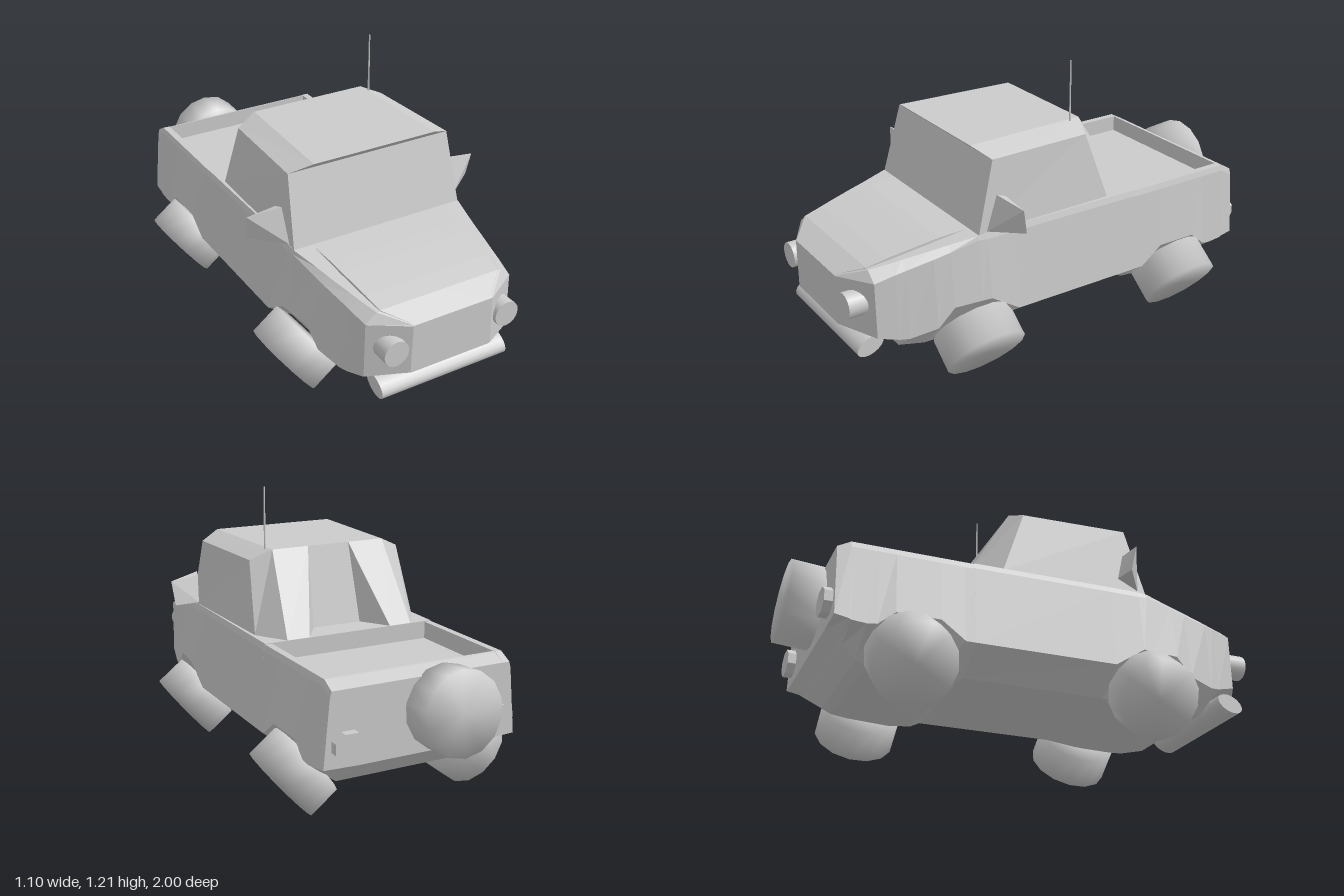
import * as THREE from 'three';
import { mergeVertices } from 'three/addons/utils/BufferGeometryUtils.js';
import { ConvexGeometry } from 'three/addons/geometries/ConvexGeometry.js';

const flat = new THREE.MeshStandardMaterial({ color: 0xcccccc, flatShading: true });
const smooth = new THREE.MeshStandardMaterial({ color: 0xcccccc });
const flip = ([x, y, z]) => [-x, y, z];

// Collects flat polygons (corners counter-clockwise from outside)
class Faces {
  constructor() { this.data = []; }
  add(...pts) {
    for (let i = 1; i < pts.length - 1; i++) this.data.push(...pts[0], ...pts[i], ...pts[i + 1]);
  }
  both(...pts) {
    this.add(...pts);
    this.add(...pts.map(flip).reverse());
  }
  geometry() {
    const g = new THREE.BufferGeometry();
    g.setAttribute('position', new THREE.Float32BufferAttribute(this.data, 3));
    g.computeVertexNormals();
    return g;
  }
}

// Low-sided drum with soft normals running over its rim
function drum(radius, width, sides) {
  const g = new THREE.CylinderGeometry(radius, radius, width, sides);
  g.deleteAttribute('normal');
  g.deleteAttribute('uv');
  const merged = mergeVertices(g, 1e-4);
  merged.computeVertexNormals();
  return merged;
}

// Half cross-section: floor or bonnet, inner rim, outer rim, shoulder, sill, underside
function section(z, floorY, inX, topX, topY, shX, shY, sillX, sillY, botX, botY) {
  return [[0, floorY], [inX, floorY], [inX, topY], [topX, topY], [shX, shY],
    [sillX, sillY], [botX, botY], [0, botY]].map(([x, y]) => [x, y, z]);
}

function bodyGeometry() {
  const tub = (z, floorY, sillY, botY, topY = 0.627) =>
    section(z, floorY, 0.36, 0.39, topY, 0.397, topY - 0.025, 0.423, sillY, 0.28, botY);
  const bed = 0.555;
  const rings = [
    tub(-0.845, 0.597, 0.30, 0.295, 0.597),
    tub(-0.79, 0.625, 0.29, 0.25),
    tub(-0.78, 0.627, 0.285, 0.24),
    tub(-0.78, bed, 0.285, 0.24),
    tub(-0.72, bed, 0.28, 0.19),
    tub(-0.68, bed, 0.285, 0.17),
    tub(-0.61, bed, 0.345, 0.16),
    tub(-0.43, bed, 0.345, 0.15),
    tub(-0.33, bed, 0.272, 0.16),
    tub(-0.29, bed, 0.272, 0.18),
    tub(-0.29, 0.63, 0.272, 0.18, 0.63),
    tub(0.31, 0.635, 0.275, 0.18, 0.635),
    tub(0.44, 0.635, 0.36, 0.165, 0.635),
    section(0.48, 0.632, 0.31, 0.39, 0.632, 0.395, 0.615, 0.418, 0.36, 0.275, 0.16),
    section(0.6, 0.622, 0.30, 0.36, 0.613, 0.38, 0.59, 0.405, 0.36, 0.27, 0.155),
    section(0.67, 0.613, 0.295, 0.345, 0.602, 0.37, 0.575, 0.395, 0.285, 0.265, 0.155),
    section(0.78, 0.595, 0.285, 0.318, 0.585, 0.352, 0.553, 0.365, 0.262, 0.26, 0.18),
    section(0.82, 0.588, 0.28, 0.308, 0.578, 0.346, 0.545, 0.355, 0.266, 0.26, 0.262),
    section(0.905, 0.568, 0.27, 0.285, 0.565, 0.332, 0.525, 0.335, 0.29, 0.32, 0.288),
    section(0.995, 0.522, 0.17, 0.175, 0.522, 0.18, 0.52, 0.185, 0.312, 0.18, 0.31),
  ];
  const f = new Faces();
  for (let i = 0; i < rings.length - 1; i++) {
    const a = rings[i], b = rings[i + 1];
    for (let j = 0; j < a.length - 1; j++) f.both(b[j + 1], a[j + 1], a[j], b[j]);
  }
  // Tailgate and nose panels
  const back = rings[0], nose = rings[rings.length - 1];
  for (let j = 0; j < back.length - 1; j++) {
    f.add(back[j + 1], flip(back[j + 1]), flip(back[j]), back[j]);
    f.add(flip(nose[j + 1]), nose[j + 1], nose[j], flip(nose[j]));
  }
  return f.geometry();
}

function cabGeometry() {
  const baseFront = [0.39, 0.625, 0.478], baseRear = [0.375, 0.632, -0.16];
  const topFront = [0.37, 0.925, 0.398], topRear = [0.35, 0.922, -0.06];
  const visor = [0.28, 0.963, 0.442], roofRear = [0.26, 0.963, -0.09];
  const backFoot = [0.29, 0.628, -0.288];
  const gapFoot = [0.19, 0.628, -0.288], gapTop = [0.095, 0.963, -0.09];
  const recess = [0.11, 0.628, -0.17];
  const f = new Faces();
  f.add(flip(baseFront), baseFront, topFront, flip(topFront));   // windscreen
  f.add(flip(topFront), topFront, visor, flip(visor));           // visor underside
  f.add(flip(visor), visor, roofRear, flip(roofRear));           // roof
  f.both(topFront, topRear, roofRear, visor);                    // roof edge
  f.both(baseFront, baseRear, topRear, topFront);                // door side
  f.both(baseRear, backFoot, roofRear, topRear);                 // rear corner
  f.both(backFoot, gapFoot, gapTop, roofRear);                   // rear buttress
  f.both(gapFoot, recess, gapTop);                               // recess side
  f.add(recess, flip(recess), flip(gapTop), gapTop);             // rear wall
  return f.geometry();
}

export function createModel() {
  const model = new THREE.Group();
  const add = (name, geometry, material, x = 0, y = 0, z = 0) => {
    const m = new THREE.Mesh(geometry, material);
    m.name = name;
    m.position.set(x, y, z);
    model.add(m);
    return m;
  };

  add('body', bodyGeometry(), flat);
  add('cab', cabGeometry(), flat);

  // Splayed wheels and the spare on the tailgate
  const wheel = drum(0.17, 0.14, 14);
  for (const [end, z] of [['front', 0.485], ['rear', -0.535]]) {
    for (const [side, s] of [['Left', 1], ['Right', -1]]) {
      add(end + side + 'Wheel', wheel, smooth, s * 0.392, 0.178, z).rotation.z = s * 0.91;
    }
  }
  add('spareWheel', wheel, smooth, -0.09, 0.47, -0.916).rotation.x = Math.PI / 2 + 0.08;

  // Lamps and mirrors
  const lamp = new THREE.CylinderGeometry(0.054, 0.054, 0.09, 16).rotateX(Math.PI / 2);
  const tail = new THREE.CylinderGeometry(0.06, 0.06, 0.05, 8)
    .rotateY(Math.PI / 8).rotateX(Math.PI / 2).scale(1.2, 0.95, 1);
  const mirrorPoints = [[0.40, 0.79, 0.40], [0.39, 0.64, 0.44], [0.535, 0.765, 0.365],
    [0.525, 0.66, 0.345], [0.41, 0.78, 0.365], [0.42, 0.665, 0.335]];
  for (const [side, s] of [['left', 1], ['right', -1]]) {
    add(side + 'Headlight', lamp, smooth, s * 0.253, 0.425, 0.955);
    add(side + 'TailLight', tail, flat, s * 0.323, 0.385, -0.855);
    add(side + 'Mirror', new ConvexGeometry(
      mirrorPoints.map(([x, y, z]) => new THREE.Vector3(s * x, y, z))), flat);
  }

  // Oval bumper bar, tipped forward
  const bar = new THREE.CylinderGeometry(1, 1, 0.58, 16)
    .rotateZ(Math.PI / 2).scale(1, 0.036, 0.06).rotateX(0.4);
  add('bumper', bar, smooth, 0, 0.238, 0.915);

  add('antenna', new THREE.CylinderGeometry(0.003, 0.004, 0.265, 6), smooth, 0.27, 1.083, -0.04);
  return model;
}
